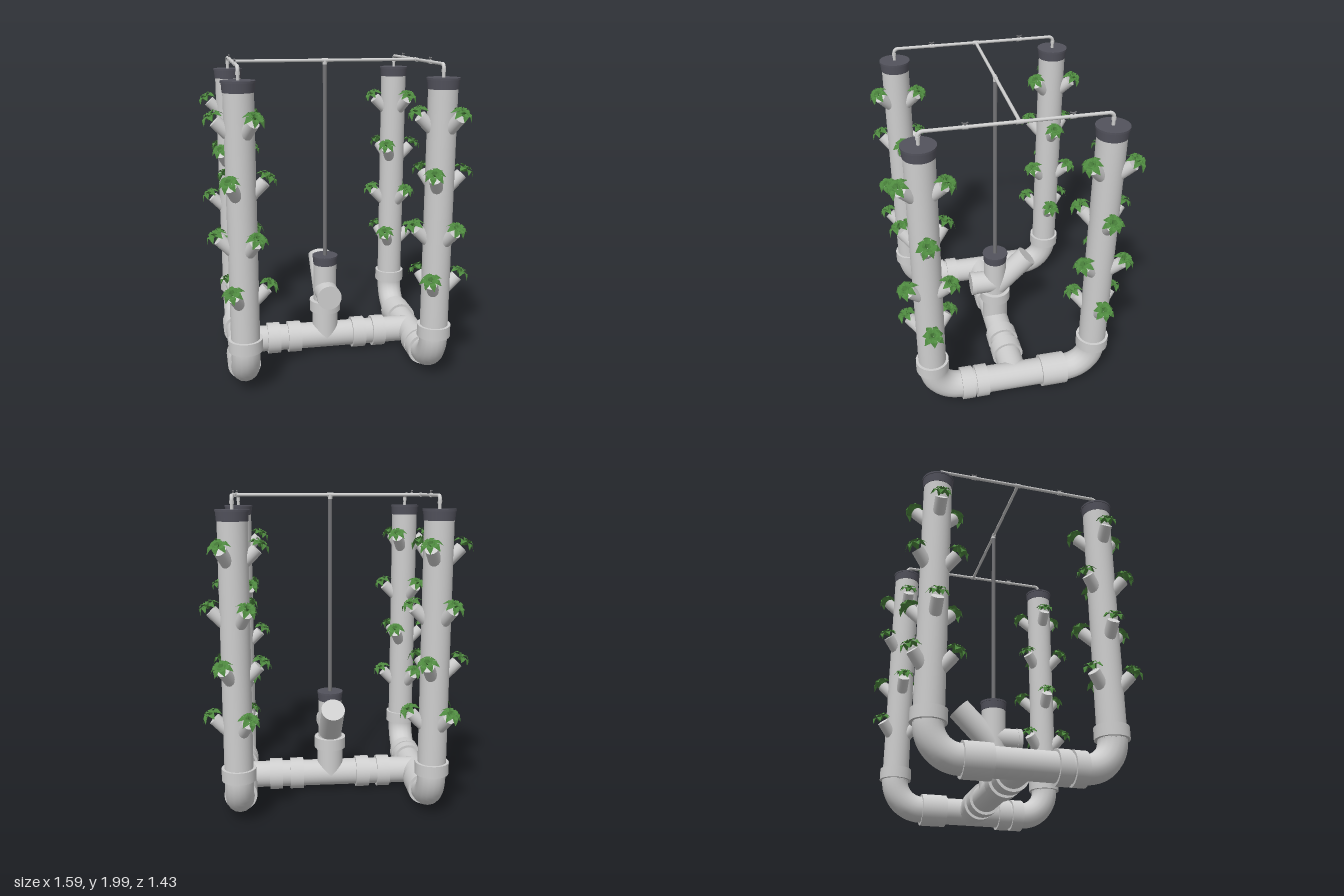
import * as THREE from 'three';

const pipeMat = new THREE.MeshStandardMaterial({ color: 0xcecece });
pipeMat.name = 'pale grey pipe';
const capMat = new THREE.MeshStandardMaterial({ color: 0x52525c });
capMat.name = 'dark cap';
const poleMat = new THREE.MeshStandardMaterial({ color: 0x747477 });
poleMat.name = 'grey riser';
const leafMat = new THREE.MeshStandardMaterial({ color: 0x4f8a40, side: THREE.DoubleSide, flatShading: true });
leafMat.name = 'leaf green';

const V = (x, y, z) => new THREE.Vector3(x, y, z);
const UP = V(0, 1, 0);
const COLX = [-0.587, 0.591], FRONT = 0.517, BACK = -0.541, MIDZ = -0.02;
const AXIS = 0.11, R = 0.087, SOCKET = 0.104, BEND = 0.18, TOP = 1.97, TUBE = 0.01;

// Straight round part from a to b
function rod(group, name, a, b, r, mat = pipeMat, rEnd = r, sides = 28) {
  const dir = b.clone().sub(a);
  const mesh = new THREE.Mesh(new THREE.CylinderGeometry(rEnd, r, dir.length(), sides), mat);
  mesh.position.copy(a).add(b).multiplyScalar(0.5);
  mesh.quaternion.setFromUnitVectors(UP, dir.normalize());
  mesh.name = name;
  group.add(mesh);
  return mesh;
}

// Quarter bend in the yz plane; side = +1 bulges to +z, up = true bulges upward
function bend(group, name, x, y, z, radius, r, side, up) {
  const geo = new THREE.TorusGeometry(radius, r, 16, 14, Math.PI / 2);
  if (!up) geo.rotateZ(-Math.PI / 2);
  geo.rotateY(-side * Math.PI / 2);
  const mesh = new THREE.Mesh(geo, pipeMat);
  mesh.position.set(x, y, z);
  mesh.name = name;
  group.add(mesh);
}

// Tapered plug with a thin rim
function cap(group, x, z, y0, y1, r) {
  rod(group, 'capPlug', V(x, y0, z), V(x, y1 - 0.01, z), r * 0.92, capMat, r * 0.96);
  rod(group, 'capRim', V(x, y1 - 0.012, z), V(x, y1, z), r, capMat);
}

// Rosette of arched, folded leaves
function plantGeometry() {
  const pos = [], idx = [];
  // reach, height, half width
  const outer = [[0.003, 0, 0.003], [0.026, 0.021, 0.014], [0.046, 0.02, 0.02], [0.068, -0.006, 0.001]];
  const inner = [[0.002, 0.004, 0.003], [0.015, 0.031, 0.011], [0.028, 0.038, 0.014], [0.046, 0.029, 0.001]];
  const ring = (profile, count, turn) => {
    for (let i = 0; i < count; i++) {
      const a = turn + i / count * Math.PI * 2, c = Math.cos(a), s = Math.sin(a);
      const k = 1 + 0.08 * Math.sin(i * 2.3), base = pos.length / 3;
      profile.forEach(([d, h, w], j) => {
        for (const e of [-1, 0, 1])
          pos.push(d * k * c - e * w * s, h + Math.abs(e) * w * 0.3, d * k * s + e * w * c);
        if (!j) return;
        const p = base + j * 3;
        for (const q of [p, p + 1]) idx.push(q - 3, q - 2, q, q - 2, q + 1, q);
      });
    }
  };
  ring(outer, 7, 0);
  ring(inner, 5, 0.4);
  const geo = new THREE.BufferGeometry();
  geo.setAttribute('position', new THREE.Float32BufferAttribute(pos, 3));
  geo.setIndex(idx);
  geo.computeVertexNormals();
  return geo;
}

// Angled cup with its plant, pointing along +x
function plantPocket(geo, spin) {
  const g = new THREE.Group();
  g.name = 'plantPocket';
  rod(g, 'cup', V(0.03, -0.105, 0), V(0.135, 0, 0), 0.038, pipeMat, 0.038, 18);
  const plant = new THREE.Mesh(geo, leafMat);
  plant.name = 'plant';
  plant.position.set(0.146, 0.012, 0);
  plant.rotation.set(0, spin, -0.52, 'ZYX');
  g.add(plant);
  return g;
}

// Tower with elbow, socket, cap and four staggered levels of pockets
function tower(x, z, side, plantGeo) {
  const g = new THREE.Group();
  g.name = 'tower';
  const y0 = AXIS + BEND;
  rod(g, 'towerPipe', V(x, y0, z), V(x, 1.84, z), R);
  rod(g, 'towerSocket', V(x, y0 + 0.005, z), V(x, 0.37, z), SOCKET);
  bend(g, 'elbow', x, y0, z - side * BEND, BEND, R, side, false);
  cap(g, x, z, 1.83, 1.895, 0.098);
  [0.68, 0.995, 1.325, 1.675].forEach((y, level) => {
    for (let k = 0; k < 3; k++) {
      const pocket = plantPocket(plantGeo, level * 1.1 + k * 0.7);
      pocket.position.set(x, y, z);
      pocket.rotation.y = (level % 2 ? Math.PI : 0) + k * Math.PI * 2 / 3;
      g.add(pocket);
    }
  });
  return g;
}

// Water feed along z above two towers
function feedLine(x) {
  const g = new THREE.Group();
  g.name = 'feedLine';
  const r = 0.028;
  rod(g, 'feedTube', V(x, TOP, BACK + r), V(x, TOP, FRONT - r), TUBE, pipeMat, TUBE, 12);
  rod(g, 'feedTee', V(x, TOP, MIDZ - 0.02), V(x, TOP, MIDZ + 0.02), 0.013, pipeMat, 0.013, 12);
  for (const [z, side] of [[FRONT, 1], [BACK, -1]]) {
    bend(g, 'feedElbow', x, TOP - r, z - side * r, r, TUBE + 0.001, side, true);
    rod(g, 'dropTube', V(x, 1.89, z), V(x, TOP - r, z), TUBE, pipeMat, TUBE, 12);
    rod(g, 'dropCollar', V(x, 1.925, z), V(x, TOP - r, z), 0.013, pipeMat, 0.013, 12);
    // valve with a small butterfly handle
    const vz = MIDZ + side * 0.29;
    rod(g, 'valveBody', V(x, TOP, vz - 0.015), V(x, TOP, vz + 0.015), 0.013, pipeMat, 0.013, 12);
    rod(g, 'valveStem', V(x, TOP, vz), V(x, 1.992, vz), 0.006, poleMat, 0.006, 8);
    for (const e of [-1, 1])
      rod(g, 'valveHandle', V(x, 1.987, vz), V(x, 1.996, vz + e * 0.017), 0.004, poleMat, 0.004, 8);
  }
  return g;
}

export function createModel() {
  const model = new THREE.Group();
  model.name = 'verticalGarden';
  const plantGeo = plantGeometry();

  for (const x of COLX) {
    model.add(tower(x, FRONT, 1, plantGeo), tower(x, BACK, -1, plantGeo), feedLine(x));
    // side run with its sockets
    const run = new THREE.Group();
    run.name = 'sideRun';
    rod(run, 'sidePipe', V(x, AXIS, BACK + BEND), V(x, AXIS, FRONT - BEND), R);
    for (const [a, b] of [[0.165, 0.243], [0.26, 0.338], [-0.36, -0.195]])
      rod(run, 'sideSocket', V(x, AXIS, a), V(x, AXIS, b), SOCKET);
    model.add(run);
  }

  // cross run joining both sides
  const cross = new THREE.Group();
  cross.name = 'crossRun';
  rod(cross, 'crossPipe', V(COLX[0], AXIS, MIDZ), V(COLX[1], AXIS, MIDZ), R);
  for (const s of [-1, 1])
    for (const [a, b] of [[0.178, 0.266], [0.32, 0.405]])
      rod(cross, 'crossSocket', V(s * a, AXIS, MIDZ), V(s * b, AXIS, MIDZ), SOCKET);
  model.add(cross);

  // central filling stack
  const stack = new THREE.Group();
  stack.name = 'fillingStack';
  const cx = -0.005;
  rod(stack, 'stackBase', V(cx, AXIS, MIDZ), V(cx, 0.3, MIDZ), R);
  rod(stack, 'stackSocket', V(cx, 0.295, MIDZ), V(cx, 0.37, MIDZ), SOCKET);
  rod(stack, 'stackPipe', V(cx, 0.3, MIDZ), V(cx, 0.64, MIDZ), 0.077);
  rod(stack, 'frontInlet', V(cx, 0.44, MIDZ), V(cx, 0.44, 0.13), 0.077);
  rod(stack, 'inletRim', V(cx, 0.44, 0.125), V(cx, 0.44, 0.153), 0.081);
  rod(stack, 'slantedInlet', V(cx, 0.395, MIDZ), V(cx, 0.622, -0.247), 0.076);
  cap(stack, cx, MIDZ, 0.625, 0.685, 0.085);
  rod(stack, 'riser', V(cx, 0.68, MIDZ), V(cx, 1.95, MIDZ), 0.013, poleMat, 0.013, 14);
  model.add(stack);

  // overhead cross tube with centre tee
  const feed = new THREE.Group();
  feed.name = 'overheadFeed';
  rod(feed, 'overheadTube', V(COLX[0], TOP, MIDZ), V(COLX[1], TOP, MIDZ), TUBE, pipeMat, TUBE, 12);
  rod(feed, 'overheadTee', V(cx - 0.02, TOP, MIDZ), V(cx + 0.02, TOP, MIDZ), 0.013, pipeMat, 0.013, 12);
  rod(feed, 'teeStem', V(cx, 1.945, MIDZ), V(cx, TOP, MIDZ), 0.014, pipeMat, 0.014, 12);
  model.add(feed);

  return model;
}
